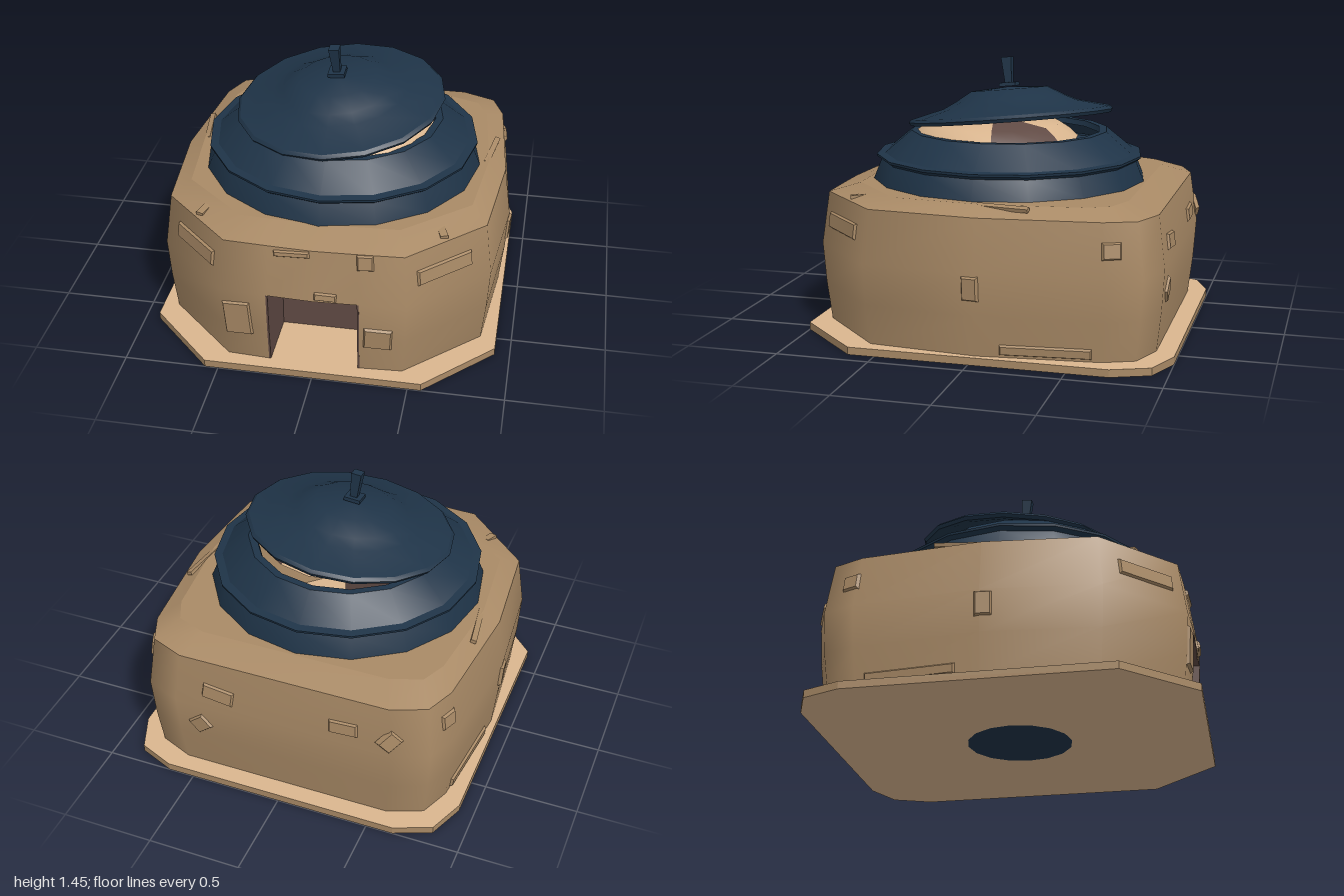
import * as THREE from 'three';
import { toCreasedNormals } from 'three/addons/utils/BufferGeometryUtils.js';

const mat = (name, color, side = THREE.FrontSide) => {
  const m = new THREE.MeshStandardMaterial({ color, side });
  m.name = name;
  return m;
};

// Wall plan at its widest: front centre round the +x side to the back, then mirrored
const doorZ = .962;
const half = [[0, .972], [.23, doorZ], [.48, .948], [.87, .57], [.925, -.03], [.86, -.69], [.79, -.86], [.6, -.937]];
const plan = [...half, ...half.slice(1).reverse().map(([x, z]) => [-x, z])];
// Bulge of the wall: height, scale of the plan
const bulge = [[.04, .96], [.25, .985], [.47, 1], [.75, .96]];

function scaleAt(y) {
  for (let i = 1; i < bulge.length; i++) {
    const [y0, s0] = bulge[i - 1], [y1, s1] = bulge[i];
    if (y <= y1) return s0 + (s1 - s0) * (y - y0) / (y1 - y0);
  }
  return bulge[bulge.length - 1][1];
}

// Skin closed loops of points; skip(level, side) leaves an opening
function loft(loops, skip = () => false) {
  const n = loops[0].length, index = [];
  for (let l = 0; l < loops.length - 1; l++) {
    for (let i = 0; i < n; i++) {
      if (skip(l, i)) continue;
      const a = l * n + i, b = l * n + (i + 1) % n;
      index.push(a, b, b + n, a, b + n, a + n);
    }
  }
  const g = new THREE.BufferGeometry();
  g.setAttribute('position', new THREE.Float32BufferAttribute(loops.flat(2), 3));
  g.setIndex(index);
  g.computeVertexNormals();
  return g;
}

const lathe = (pts, segments = 16, start = 0, arc = Math.PI * 2) => toCreasedNormals(
  new THREE.LatheGeometry(pts.map(p => new THREE.Vector2(...p)), segments, start, arc), .5);

// Block whose outer (+z) face is narrowed
function blockGeometry(w, h, d) {
  const g = new THREE.BoxGeometry(w, h, d);
  const p = g.attributes.position;
  const inset = .015;
  for (let i = 0; i < p.count; i++) {
    if (p.getZ(i) > 0) {
      p.setX(i, p.getX(i) - Math.sign(p.getX(i)) * inset);
      p.setY(i, p.getY(i) - Math.sign(p.getY(i)) * inset);
    }
  }
  g.computeVertexNormals();
  return g;
}

export function createModel() {
  const model = new THREE.Group();
  model.name = 'domedHouse';
  const clay = mat('clay', 0xa98a66, THREE.DoubleSide);
  const sand = mat('paleSand', 0xdab68f);
  const brown = mat('darkBrown', 0x604a44);
  const blue = mat('darkBlue', 0x1f3448, THREE.DoubleSide);

  const add = (name, geo, material, parent = model, pos = [0, 0, 0], rot = [0, 0, 0]) => {
    const m = new THREE.Mesh(geo, material);
    m.name = name;
    m.position.set(...pos);
    m.rotation.set(...rot);
    parent.add(m);
    return m;
  };

  // Ground slab: pale top and bottom, clay edge
  const side = [[.57, 1], [.92, .64], [.92, -.72], [.84, -.92], [.645, -1]];
  const slab = [...side, ...side.slice().reverse().map(([x, z]) => [-x, z])];
  const slabShape = new THREE.Shape(slab.map(([x, z]) => new THREE.Vector2(x, -z)));
  add('slab', new THREE.ExtrudeGeometry(slabShape, { depth: .04, bevelEnabled: false }), [sand, clay],
    model, [0, 0, 0], [-Math.PI / 2, 0, 0]);
  add('undersideDisc', new THREE.CircleGeometry(.28, 16), blue, model, [0, -.001, 0], [Math.PI / 2, 0, 0]);

  // Bulging wall with the doorway left open
  const wallLoops = bulge.map(([y, s]) => plan.map(([x, z]) =>
    [Math.abs(x) === .23 || x === 0 ? x : x * s, y, z * s]));
  add('wall', loft(wallLoops, (l, i) => l < 2 && (i === 0 || i === plan.length - 1)), clay);

  // Roof deck: sloping border, then flat under the dome
  const deckLoop = k => plan.map(([x, z]) => [x * .86 * k, .8, z * .785 * k]);
  add('roofDeckBorder', loft([wallLoops[3], deckLoop(1)]), clay);
  add('roofDeck', loft([deckLoop(1), deckLoop(.7)]), clay);

  // Doorway recess
  const back = .6;
  const jamb = new THREE.Shape([[back, .04], ...bulge.slice(0, 3).map(([y, s]) => [doorZ * s, y]), [back, .47]]
    .map(p => new THREE.Vector2(...p)));
  const jambGeo = new THREE.ExtrudeGeometry(jamb, { depth: .01, bevelEnabled: false });
  jambGeo.rotateY(-Math.PI / 2);
  add('doorJambLeft', jambGeo, brown, model, [.24, 0, 0]);
  add('doorJambRight', jambGeo, brown, model, [-.23, 0, 0]);
  add('doorBack', new THREE.BoxGeometry(.46, .43, .01), brown, model, [0, .255, back]);
  add('doorCeiling', new THREE.BoxGeometry(.46, .01, .36), brown, model, [0, .475, .78]);

  // Raised blocks on the wall: plan edge, fraction along it, height, width, block height, roll
  const block = (edge, t, y, w, h, roll = 0) => {
    const [ax, az] = plan[edge], [bx, bz] = plan[(edge + 1) % plan.length];
    const s = scaleAt(y), slope = (scaleAt(y + .03) - scaleAt(y - .03)) / .06 * .95;
    const m = add('wallBlock', blockGeometry(w, h, .026), clay, model,
      [(ax + (bx - ax) * t) * s, y, (az + (bz - az) * t) * s]);
    m.rotation.order = 'YXZ';
    m.rotation.set(-Math.atan(slope) * -1, Math.atan2(az - bz, bx - ax), roll);
  };
  const last = plan.length - 1;
  // Paired blocks
  [[2, .46, .61, .36, .1], [3, .97, .395, .1, .14], [4, .56, .08, .48, .07], [5, .2, .61, .11, .1]]
    .forEach(([e, t, ...rest]) => {
      block(e, t, ...rest);
      block(last - e, 1 - t, ...rest);
    });
  // Front blocks
  block(last, .52, .72, .2, .05, .06);
  block(1, .18, .705, .1, .1, .03);
  block(0, .3, .5, .13, .06, -.04);
  block(last - 1, .32, .3, .16, .22, .06);
  block(1, .44, .255, .16, .14, -.04);
  // Back blocks
  block(7, .2, .57, .19, .1, -.12);
  block(7, .11, .34, .12, .11, .7);
  block(7, .79, .57, .17, .09, .05);
  block(8, .02, .56, .12, .1, .8);

  // Blocks on the roof deck
  for (const s of [-1, 1]) {
    add('deckBlock', new THREE.BoxGeometry(.04, .025, .08), clay, model, [s * .62, .764, .68], [.1, s * .35, 0]);
    add('deckStrip', new THREE.BoxGeometry(.03, .02, .28), clay, model, [s * .8, .79, -.15], [0, -s * .14, -s * .3]);
  }

  // Dome drum with a lip and sloping shoulder
  add('dome', lathe([[.75, .79], [.748, .8], [.705, .905], [.728, .922], [.73, .935], [.685, .94],
    [.54, 1.06], [.5, 1.06], [.49, 1.03]]), blue, model, [0, 0, .027]);

  // Pale mound inside the dome, with one dark wedge
  const mound = [[.46, 1.02], [.42, 1.06], [.36, 1.1], [0, 1.14]];
  const start = Math.PI / 2 + .23, arc = .9;
  add('moundDarkWedge', lathe(mound, 3, start, arc), brown, model, [.05, 0, .1]);
  add('mound', lathe(mound, 14, start + arc, Math.PI * 2 - arc), sand, model, [.05, 0, .1]);

  // Tilted hollow lid
  const lid = new THREE.Group();
  lid.name = 'lid';
  lid.position.set(-.015, 1.112, .02);
  lid.rotation.set(.1, 0, .09);
  model.add(lid);
  add('lidShell', lathe([[0, .15], [.2, .14], [.36, .055], [.53, 0], [.555, 0], [.566, .018], [.55, .034],
    [.37, .078], [.3, .112], [.21, .163], [0, .175]]), blue, lid);

  // Knob: square foot and flared post
  add('knobFoot', new THREE.BoxGeometry(.09, .02, .09), blue, lid, [0, .188, 0]);
  const post = new THREE.CylinderGeometry(.04, .027, .14, 4, 1).toNonIndexed();
  post.rotateY(Math.PI / 4);
  post.computeVertexNormals();
  add('knobPost', post, blue, lid, [0, .267, 0]);

  return model;
}
